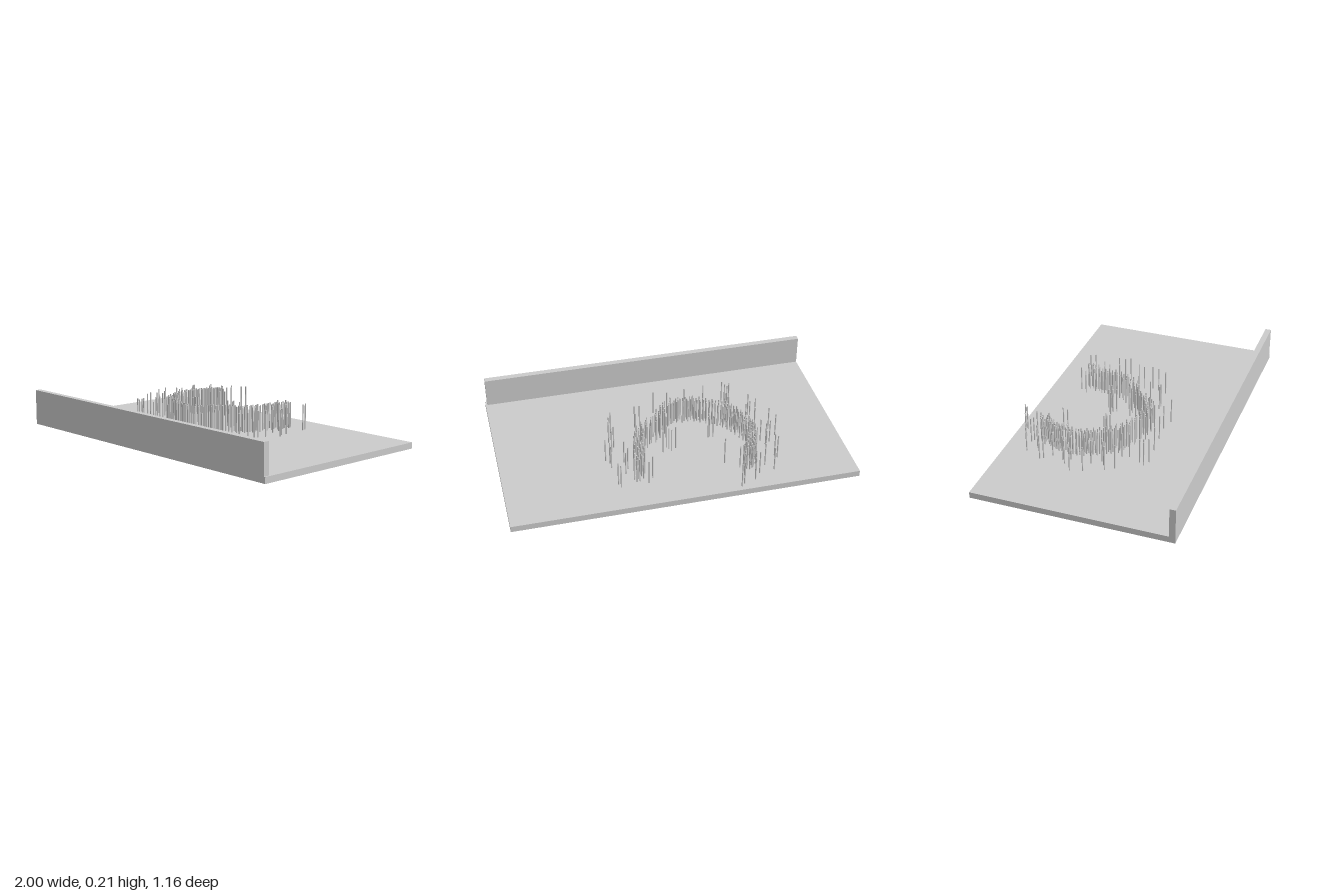
import * as THREE from 'three';

const BASE_TOP = 0.036, PIN_TOP = 0.19, DEPTH = 1.164;

// Centre line of the horseshoe of pins, as [x, z]
const CURVE = [
  [-0.37, -0.41], [-0.42, -0.35], [-0.45, -0.26], [-0.465, -0.18], [-0.43, -0.08],
  [-0.38, 0.0], [-0.31, 0.06], [-0.21, 0.11], [-0.11, 0.13], [-0.02, 0.10],
  [0.05, 0.0], [0.13, -0.05], [0.18, -0.11], [0.20, -0.20], [0.22, -0.30], [0.25, -0.38],
];

// Stray pins around the horseshoe, as x, z pairs
const STRAYS = [
  -0.31, -0.55, -0.33, -0.53, -0.40, -0.51, -0.53, -0.45, -0.44, -0.46, -0.42, -0.45, -0.35, -0.46,
  -0.36, -0.43, -0.41, -0.41, -0.49, -0.40, -0.58, -0.35, -0.57, -0.33, -0.53, -0.29, -0.27, -0.33,
  -0.28, -0.30, -0.58, -0.20, -0.55, -0.22, -0.53, -0.18, -0.63, -0.15, -0.61, -0.08, -0.53, -0.06,
  -0.52, 0.01, -0.56, 0.03, -0.49, -0.01, -0.53, 0.08, -0.41, 0.08, -0.40, 0.12, -0.43, 0.19,
  -0.42, 0.21, -0.45, 0.22, -0.41, 0.24, -0.29, 0.23, -0.27, -0.08, -0.25, -0.07, -0.24, -0.08,
  -0.25, -0.05, -0.17, 0.22, -0.06, 0.21, 0.02, 0.23, -0.03, -0.13, 0.0, -0.15, 0.01, -0.13,
  0.02, -0.11, 0.05, -0.15, 0.0, -0.02, 0.16, 0.12, 0.13, 0.12, 0.17, 0.05, 0.31, 0.10,
  0.33, 0.05, 0.34, 0.01, 0.32, -0.04, 0.34, -0.08, 0.39, -0.15, 0.37, -0.18, 0.37, -0.22,
  0.29, -0.19, 0.28, -0.25, 0.30, -0.29, 0.36, -0.37, 0.35, -0.40, 0.19, -0.40, 0.16, -0.36,
];

export function createModel() {
  const model = new THREE.Group();
  const material = new THREE.MeshStandardMaterial({ color: 0xcccccc, flatShading: true });

  const box = (name, w, h, d, x, y, z) => {
    const mesh = new THREE.Mesh(new THREE.BoxGeometry(w, h, d), material);
    mesh.name = name;
    mesh.position.set(x, y + h / 2, z);
    model.add(mesh);
  };

  // Flat base and the upright board along its front edge
  box('basePlate', 2, BASE_TOP, DEPTH, 0, 0, 0);
  box('frontWall', 1.99, 0.212 - BASE_TOP, 0.035, -0.005, BASE_TOP, DEPTH / 2 - 0.0175);

  // Thin upright pins
  const pins = new THREE.Group();
  pins.name = 'pins';
  model.add(pins);
  const pinHeight = PIN_TOP - BASE_TOP;
  const pinGeometry = new THREE.CylinderGeometry(0.004, 0.004, pinHeight, 8);
  const addPin = (x, z) => {
    const pin = new THREE.Mesh(pinGeometry, material);
    pin.name = 'pin';
    pin.position.set(x, BASE_TOP + pinHeight / 2, z);
    pins.add(pin);
  };

  // Seeded scatter
  let seed = 7;
  const random = () => {
    seed = (seed * 16807) % 2147483647;
    return seed / 2147483647;
  };

  // Pins crowd along the horseshoe in a narrow band
  const path = new THREE.CatmullRomCurve3(CURVE.map(([x, z]) => new THREE.Vector3(x, 0, z)));
  const count = 190;
  for (let i = 0; i < count; i++) {
    const t = Math.pow((i + 0.5) / count, 1.12); // denser on the -x arm
    const p = path.getPointAt(t);
    const d = path.getTangentAt(t);
    const lane = ((i * 2) % 5 - 2) * 0.013 + (random() - 0.5) * 0.016;
    addPin(p.x - d.z * lane, p.z + d.x * lane);
  }
  for (let i = 0; i < STRAYS.length; i += 2) addPin(STRAYS[i], STRAYS[i + 1]);

  return model;
}
